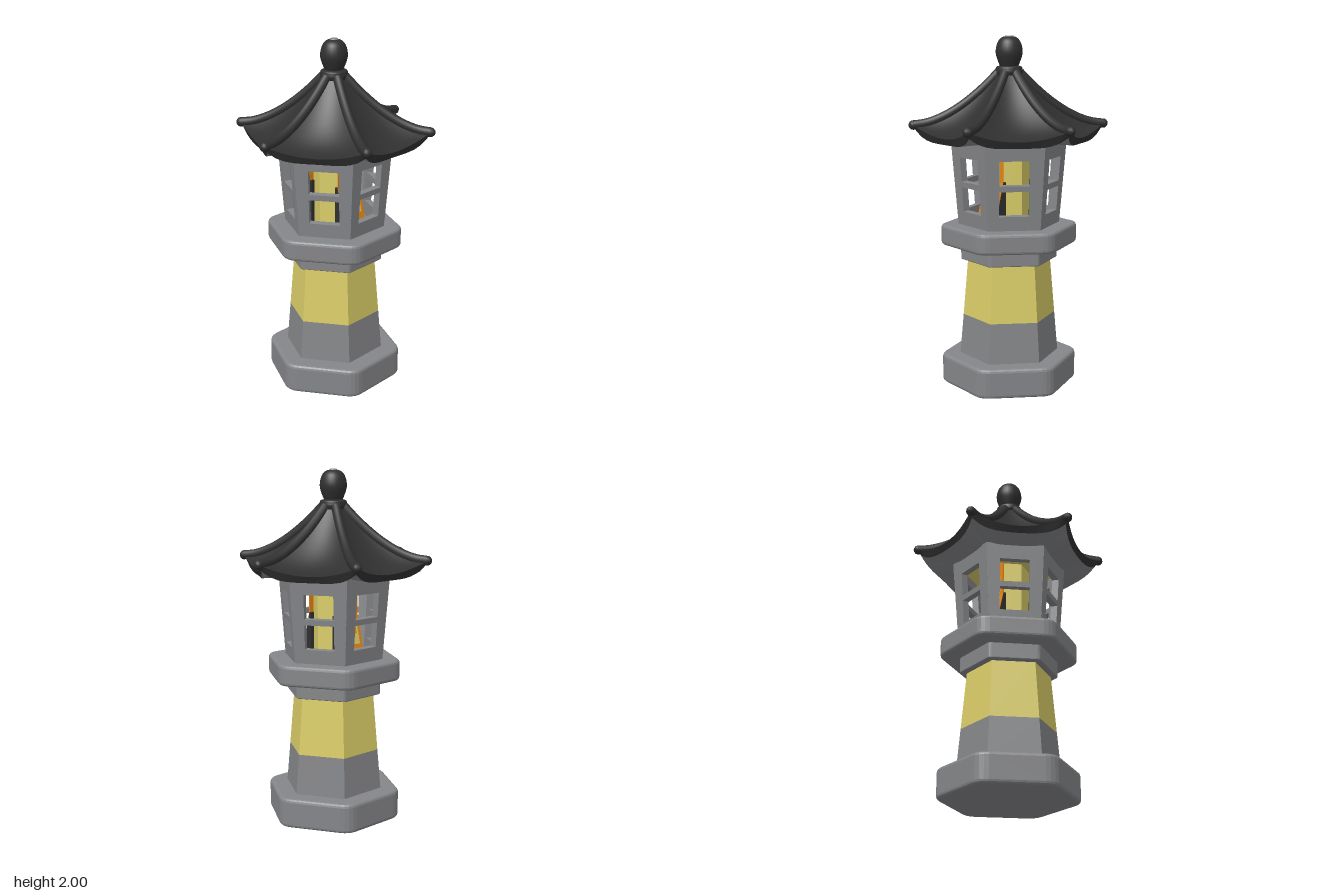
import * as THREE from 'three';

const material = (name, color) => {
  const m = new THREE.MeshStandardMaterial({ color });
  m.name = name;
  return m;
};

export function createModel() {
  const stone = material('grey stone', 0x858689);
  const dark = material('dark roof', 0x303030);
  const yellow = material('yellow', 0xdacd68);
  const orange = material('orange', 0xf08a12);

  const model = new THREE.Group();
  model.name = 'stoneLantern';
  const add = (name, geometry, mat, parent = model) => {
    const mesh = new THREE.Mesh(geometry, mat);
    mesh.name = name;
    parent.add(mesh);
    return mesh;
  };

  // Flat-faced hexagonal frustum with corners on the x axis
  const hexFrustum = (rTop, rBottom, y0, y1, open = false) => {
    const g = new THREE.CylinderGeometry(rTop, rBottom, y1 - y0, 6, 1, open, Math.PI / 6)
      .translate(0, (y0 + y1) / 2, 0);
    const flat = g.toNonIndexed();
    flat.computeVertexNormals();
    return flat;
  };

  // Hexagonal slab with rounded corners and bevelled rims
  const hexSlab = (apothem, y0, y1, bevel, round) => {
    const r = (apothem - bevel) / Math.cos(Math.PI / 6);
    const corner = (k) => new THREE.Vector2(r * Math.cos(k * Math.PI / 3), r * Math.sin(k * Math.PI / 3));
    const shape = new THREE.Shape();
    for (let k = 0; k < 6; k++) {
      const c = corner(k);
      const a = c.clone().lerp(corner(k - 1), round);
      const b = c.clone().lerp(corner(k + 1), round);
      if (k === 0) shape.moveTo(a.x, a.y);
      else shape.lineTo(a.x, a.y);
      shape.quadraticCurveTo(c.x, c.y, b.x, b.y);
    }
    shape.closePath();
    return new THREE.ExtrudeGeometry(shape, {
      depth: y1 - y0 - 2 * bevel, bevelEnabled: true, bevelSize: bevel,
      bevelThickness: bevel, bevelSegments: 3, curveSegments: 4,
    }).translate(0, 0, bevel).rotateX(-Math.PI / 2).translate(0, y0, 0);
  };

  // Foot, two-colour tapered shaft, collar and platform
  add('foot', hexSlab(0.35, 0, 0.17, 0.02, 0.12), stone);
  add('lowerShaft', hexFrustum(0.267, 0.288, 0.16, 0.4), stone);
  add('upperShaft', hexFrustum(0.238, 0.267, 0.4, 0.74), yellow);
  add('collar', hexSlab(0.244, 0.73, 0.83, 0.006, 0.04), stone);
  add('platform', hexSlab(0.35, 0.82, 0.937, 0.018, 0.12), stone);

  // Six leaning wall panels, each with two window openings
  const wall = new THREE.Shape([[-0.146, 0], [0.146, 0], [0.166, 0.49], [-0.166, 0.49]]
    .map(([x, y]) => new THREE.Vector2(x, y)));
  for (const [y0, y1] of [[0.085, 0.225], [0.257, 0.395]]) {
    wall.holes.push(new THREE.Path([[-0.085, y0], [-0.085, y1], [0.085, y1], [0.085, y0]]
      .map(([x, y]) => new THREE.Vector2(x, y))));
  }
  for (let k = 0; k < 6; k++) {
    add('windowWall', new THREE.ExtrudeGeometry(wall, { depth: 0.04, bevelEnabled: false })
      .translate(0, 0, -0.04).rotateX(0.072).translate(0, 0.932, 0.252)
      .rotateY(k * Math.PI / 3), stone);
  }
  add('ceiling', hexFrustum(0.29, 0.29, 1.392, 1.4), yellow);

  // Hexagonal lamp core with differently coloured sides
  const core = hexFrustum(0.12, 0.12, 0.93, 1.395, true);
  [1, 0, 1, 1, 0, 1].forEach((m, k) => core.addGroup(k * 6, 6, m));
  add('lampCore', core, [yellow, orange]);

  // Lamp faces at front and back: framed upper panel above a sloping skirt
  const plate = (name, w, h, y, z, mat, parent) =>
    add(name, new THREE.BoxGeometry(w, h, 0.005).translate(0, y, z), mat, parent);
  const skirtShape = new THREE.Shape([[0.09, 0.932], [0.165, 0.932], [0.105, 1.19], [0.09, 1.19]]
    .map(([x, y]) => new THREE.Vector2(x, y)));
  for (const turn of [0, Math.PI]) {
    const face = new THREE.Group();
    face.name = 'lampFace';
    face.rotation.y = turn;
    model.add(face);
    plate('upperPanel', 0.176, 0.2, 1.285, 0.106, orange, face);
    [[0.12, 0.12, yellow], [0.09, 0.09, orange], [0.075, 0.075, yellow], [0.04, 0.045, orange]]
      .forEach(([w, h, mat], i) => plate('panelFrame', w, h, 1.25, 0.109 + i * 0.003, mat, face));
    add('skirt', new THREE.ExtrudeGeometry(skirtShape, { depth: 0.18, bevelEnabled: false })
      .rotateY(-Math.PI / 2).translate(0.09, 0, 0), dark, face);
    const slope = new THREE.Group();
    slope.name = 'skirtPaint';
    slope.position.set(0, 1.061, 0.136);
    slope.rotation.x = -0.231;
    face.add(slope);
    plate('skirtBorder', 0.176, 0.255, 0, 0, orange, slope);
    plate('skirtField', 0.135, 0.15, 0.035, 0.003, yellow, slope);
    plate('skirtMark', 0.05, 0.11, 0.035, 0.006, orange, slope);
    plate('skirtMark', 0.1, 0.03, 0.035, 0.007, orange, slope);
  }

  // Closed hexagonal rings joined from top to bottom; at(i, u) gives [half width, apothem, y]
  const N = 12;
  const hexLoft = (rings, at) => {
    const pos = [], idx = [], cols = 6 * N;
    for (let i = 0; i < rings; i++) {
      for (let j = 0; j < cols; j++) {
        const phi = Math.floor(j / N) * Math.PI / 3;
        const u = (j % N) / N * 2 - 1;
        const [w, a, y] = at(i, u);
        const x = u * w;
        pos.push(x * Math.cos(phi) + a * Math.sin(phi), y, a * Math.cos(phi) - x * Math.sin(phi));
        if (i === rings - 1) continue;
        const p = i * cols + j, q = i * cols + (j + 1) % cols;
        idx.push(p, p + cols, q, q, p + cols, q + cols);
      }
    }
    const g = new THREE.BufferGeometry();
    g.setAttribute('position', new THREE.Float32BufferAttribute(pos, 3));
    g.setIndex(idx);
    g.computeVertexNormals();
    return g;
  };

  // Swept roof with concave eaves rising to the corners
  const eaveA = (u) => 0.442 + 0.03 * u * u;
  const eaveTop = (u) => 1.447 + 0.058 * u * u;
  const eaveBottom = (u) => 1.412 + 0.058 * u ** 4;
  const mix = THREE.MathUtils.lerp;
  const sweep = (t, y) => y + (1.795 - y) * (1 - t) ** 1.78;
  add('roof', hexLoft(13, (i, u) => {
    const t = i / 12;
    return [mix(0.035, 0.2725, t), mix(0.06, eaveA(u), t), sweep(t, eaveTop(u))];
  }), dark);
  add('eaveRim', hexLoft(2, (i, u) => [i ? 0.262 : 0.2725, eaveA(u) - i * 0.018,
    i ? eaveBottom(u) : eaveTop(u)]), dark);
  add('roofUnderside', hexLoft(4, (i, u) => {
    const t = 1 - i / 3;
    return [0.262 * t, (eaveA(u) - 0.018) * t, mix(1.408, eaveBottom(u), t * t)];
  }), stone);

  // Rounded ridges along the six roof corners
  for (let k = 0; k < 6; k++) {
    const points = [];
    for (let i = 0; i <= 8; i++) {
      const t = i / 8;
      points.push(new THREE.Vector3(mix(0.06, 0.541, t), sweep(t, 1.505), 0));
    }
    const turn = k * Math.PI / 3;
    add('roofRidge', new THREE.TubeGeometry(new THREE.CatmullRomCurve3(points), 20, 0.027, 10)
      .rotateY(turn), dark);
    add('ridgeTip', new THREE.SphereGeometry(0.027, 10, 8).translate(0.541, 1.505, 0)
      .rotateY(turn), dark);
  }

  // Finial: neck ring, egg-shaped knob and pale tip
  const lathe = (pts) => new THREE.LatheGeometry(
    new THREE.SplineCurve(pts.map(([x, y]) => new THREE.Vector2(x, y))).getPoints(24), 24);
  add('finialNeck', lathe([[0.06, 1.765], [0.076, 1.79], [0.077, 1.81], [0.065, 1.83], [0, 1.835]]), dark);
  add('finialKnob', lathe([[0.045, 1.82], [0.06, 1.85], [0.076, 1.905], [0.066, 1.96],
    [0.04, 1.99], [0, 1.997]]), dark);
  add('finialTip', new THREE.CylinderGeometry(0.022, 0.025, 0.006, 12).translate(0, 1.997, 0), stone);

  return model;
}
